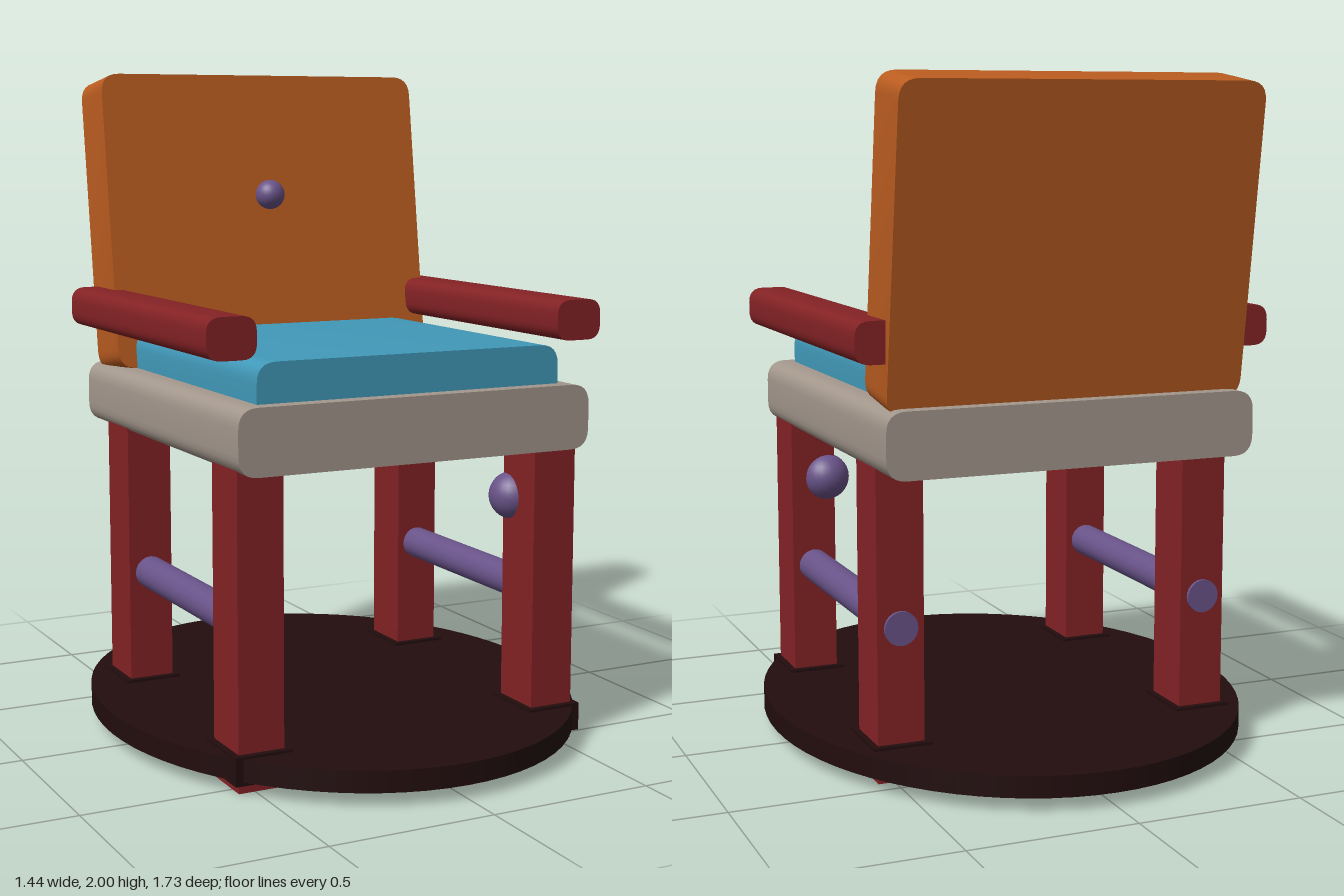
import * as THREE from 'three';
import { toCreasedNormals } from 'three/addons/utils/BufferGeometryUtils.js';

const material = (name, color) => {
  const m = new THREE.MeshStandardMaterial({ color });
  m.name = name;
  return m;
};

// Bar along z with a rounded cross-section, centred on the origin.
// top and bottom are the corner radii.
function roundedBar(w, h, depth, top, bottom = top) {
  const x = w / 2, y = h / 2, s = new THREE.Shape();
  s.moveTo(-x + bottom, -y);
  s.lineTo(x - bottom, -y);
  if (bottom) s.quadraticCurveTo(x, -y, x, -y + bottom);
  s.lineTo(x, y - top);
  s.quadraticCurveTo(x, y, x - top, y);
  s.lineTo(-x + top, y);
  s.quadraticCurveTo(-x, y, -x, y - top);
  s.lineTo(-x, -y + bottom);
  if (bottom) s.quadraticCurveTo(-x, -y, -x + bottom, -y);
  const g = new THREE.ExtrudeGeometry(s, { depth, bevelEnabled: false, curveSegments: 6 });
  g.translate(0, 0, -depth / 2);
  return toCreasedNormals(g, 0.6);
}

export function createModel() {
  const red = material('red wood', 0x842225);
  const orange = material('orange back', 0xba5c20);
  const stone = material('warm grey', 0xa3978c);
  const blue = material('blue cushion', 0x4199b9);
  const purple = material('purple trim', 0x695389);
  const dark = material('dark base', 0x220d0e);

  const model = new THREE.Group();
  model.name = 'armchair';
  const add = (name, geometry, mat, x, y, z) => {
    const mesh = new THREE.Mesh(geometry, mat);
    mesh.name = name;
    mesh.position.set(x, y, z);
    model.add(mesh);
    return mesh;
  };

  // Oval base
  const base = add('base', new THREE.CylinderGeometry(1, 1, 0.064, 72), dark, 0, 0.072, 0);
  base.scale.set(0.72, 1, 0.865);

  // Seat and cushion
  add('seat', roundedBar(1.13, 0.192, 1.175, 0.06), stone, 0, 0.993, 0.002);
  add('cushion', roundedBar(0.974, 0.125, 0.96, 0.06, 0), blue, 0, 1.142, 0.06);

  // Reclined backrest with its button
  const back = add('backrest', roundedBar(1.094, 0.92, 0.186, 0.06), orange, 0, 1.532, -0.506);
  back.rotation.x = -0.138;
  add('backButton', new THREE.SphereGeometry(0.047, 24, 16), purple, 0, 1.62, -0.407);

  // Mirrored legs, collars, rungs and armrests
  for (const [side, sx] of [['left', 1], ['right', -1]]) {
    for (const [end, z] of [['Front', 0.46], ['Back', -0.365]]) {
      add(`${side}${end}Leg`, new THREE.BoxGeometry(0.14, 0.915, 0.17), red, sx * 0.48, 0.4575, z);
      add(`${side}${end}Collar`, new THREE.BoxGeometry(0.175, 0.084, 0.21), dark, sx * 0.48, 0.07, z);
    }
    const rung = add(`${side}Rung`, new THREE.CylinderGeometry(0.05, 0.05, 0.9, 24), purple, sx * 0.48, 0.45, -0.01);
    rung.rotation.x = Math.PI / 2;
    add(`${side}Armrest`, roundedBar(0.15, 0.12, 1.075, 0.045), red, sx * 0.56, 1.273, 0.002);
  }

  // Round knob on the inner corner of one front leg
  add('legKnob', new THREE.SphereGeometry(0.073, 24, 16), purple, 0.433, 0.733, 0.39);

  return model;
}
